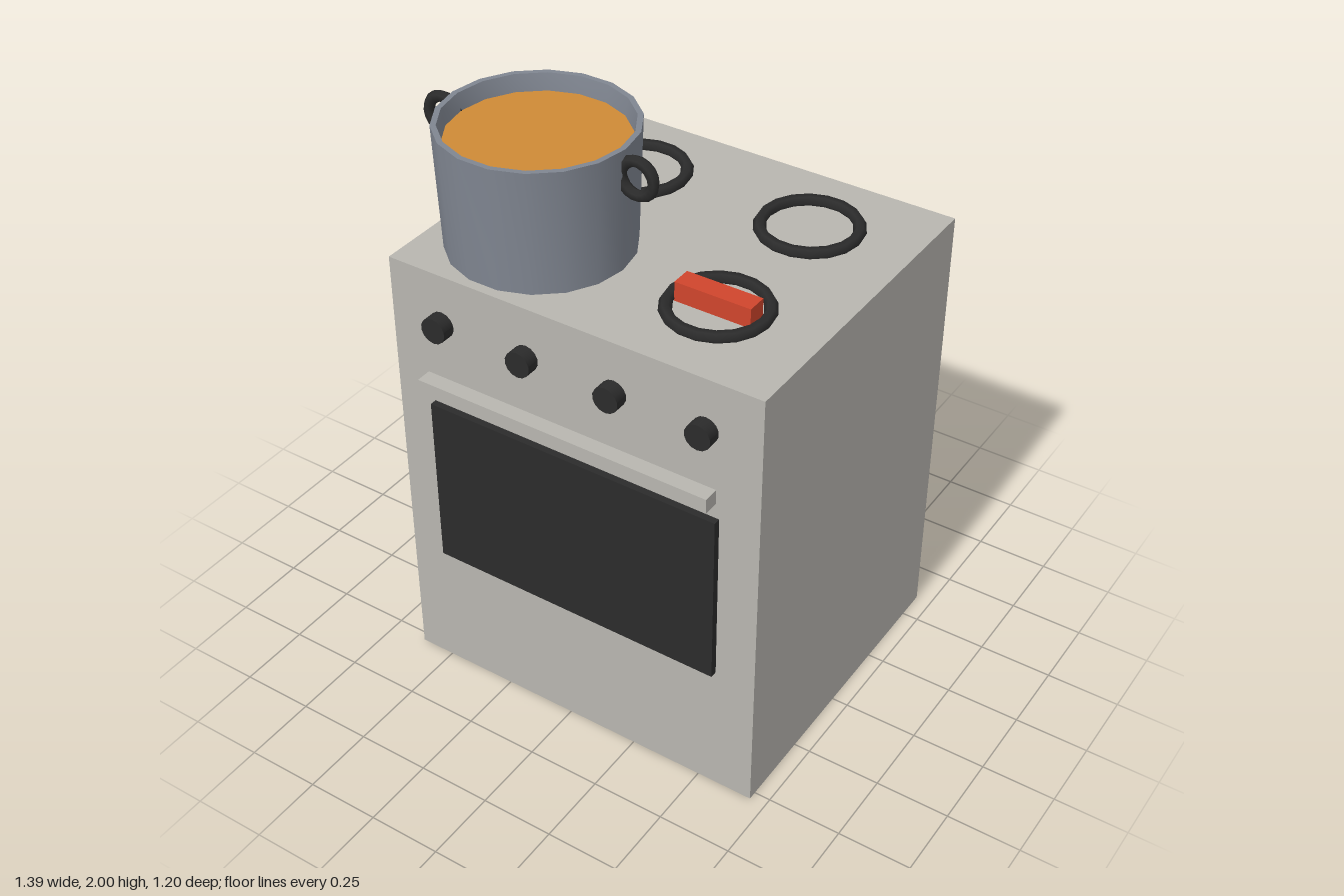
import * as THREE from 'three';
import { toCreasedNormals } from 'three/addons/utils/BufferGeometryUtils.js';

const paint = (name, color) => {
  const m = new THREE.MeshStandardMaterial({ color });
  m.name = name;
  return m;
};

export function createModel() {
  const stove = new THREE.Group();
  stove.name = 'stove';

  const enamel = paint('warm grey enamel', 0xb8b6b0);
  const black = paint('black', 0x2b2b2b);
  const steel = paint('blue grey steel', 0x808691);
  const broth = paint('orange soup', 0xcf8a36);
  const red = paint('red', 0xd0452c);

  const add = (name, geometry, material, x, y, z) => {
    const mesh = new THREE.Mesh(geometry, material);
    mesh.name = name;
    mesh.position.set(x, y, z);
    stove.add(mesh);
    return mesh;
  };
  // Box given by its lower and upper corners
  const box = (name, material, [x0, y0, z0], [x1, y1, z1]) =>
    add(name, new THREE.BoxGeometry(x1 - x0, y1 - y0, z1 - z0), material,
      (x0 + x1) / 2, (y0 + y1) / 2, (z0 + z1) / 2);

  // Cabinet, oven window and door handle
  box('cabinet', enamel, [-0.622, 0, -0.602], [0.695, 1.57, 0.53]);
  box('ovenWindow', black, [-0.483, 0.48, 0.52], [0.557, 1.09, 0.554]);
  box('doorHandle', enamel, [-0.483, 1.162, 0.55], [0.557, 1.213, 0.603]);

  // Control knobs
  const knobGeo = toCreasedNormals(
    new THREE.CylinderGeometry(0.044, 0.044, 0.055, 14).rotateX(Math.PI / 2), 0.6);
  for (let i = 0; i < 4; i++) {
    add('knob', knobGeo, black, -0.433 + i * 0.313, 1.395, 0.548);
  }

  // Burner rings
  const leftX = -0.276, rightX = 0.352, backZ = -0.3, frontZ = 0.225;
  const ringGeo = new THREE.TorusGeometry(0.155, 0.021, 6, 18).rotateX(-Math.PI / 2);
  for (const x of [leftX, rightX]) {
    for (const z of [backZ, frontZ]) add('burner', ringGeo, black, x, 1.58, z);
  }

  // Bar resting on the front burner
  box('redBar', red, [0.222, 1.572, 0.19], [0.481, 1.638, 0.258]);

  // Hollow pot: outside, rim, tapering inside wall and floor
  const profile = [
    [0, 1.587], [0.296, 1.587], [0.311, 2], [0.293, 2], [0.28, 1.93], [0.272, 1.62], [0, 1.62],
  ].map(([r, y]) => new THREE.Vector2(r, y));
  const potGeo = new THREE.LatheGeometry(profile, 18, Math.PI / 2);
  add('pot', toCreasedNormals(potGeo, 0.6), steel, leftX, 0, frontZ);

  // Soup surface
  add('soup', new THREE.CircleGeometry(0.283, 18).rotateX(-Math.PI / 2), broth,
    leftX, 1.944, frontZ);

  // Ring handles on both sides of the pot
  const handleGeo = new THREE.TorusGeometry(0.056, 0.019, 6, 18);
  for (const side of [-1, 1]) {
    add('potHandle', handleGeo, black, leftX + side * 0.349, 1.916, frontZ);
  }

  return stove;
}
